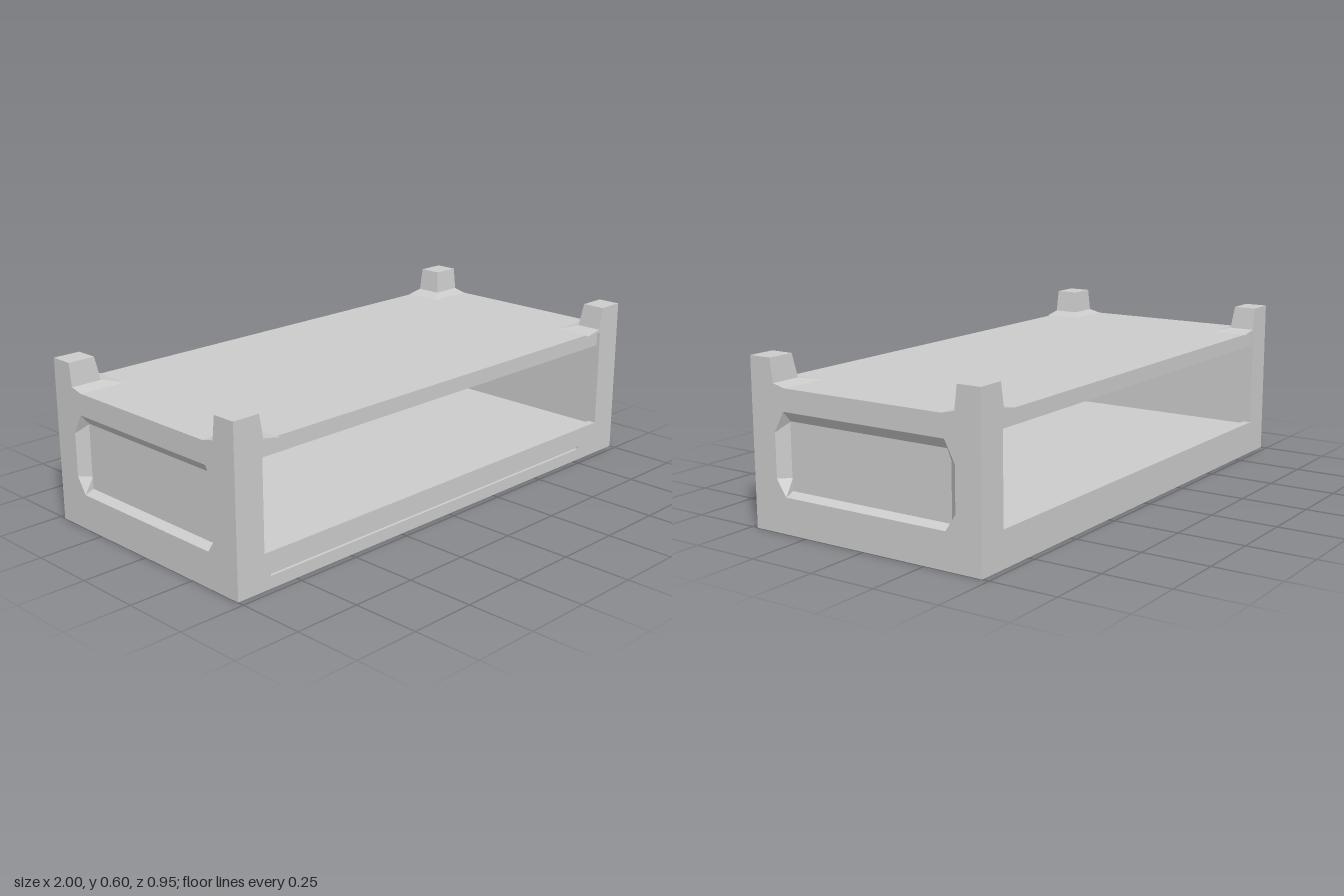
import * as THREE from 'three';

const material = new THREE.MeshStandardMaterial({ color: 0xcccccc, flatShading: true });

function add(parent, name, geometry) {
  const mesh = new THREE.Mesh(geometry, material);
  mesh.name = name;
  parent.add(mesh);
  return mesh;
}

// Box given by its extents on each axis
function slab(x0, x1, y0, y1, z0, z1) {
  return new THREE.BoxGeometry(x1 - x0, y1 - y0, z1 - z0)
    .translate((x0 + x1) / 2, (y0 + y1) / 2, (z0 + z1) / 2);
}

// Corner block whose two inner faces lean; low and high are the inner [x, z]
function cornerBlock(sx, sz, y0, y1, low, high) {
  const geometry = new THREE.BoxGeometry(1, 1, 1);
  const p = geometry.attributes.position;
  for (let i = 0; i < p.count; i++) {
    const top = p.getY(i) > 0;
    const inner = top ? high : low;
    const x = p.getX(i) * sx > 0 ? 1 : inner[0];
    const z = p.getZ(i) * sz > 0 ? 0.475 : inner[1];
    p.setXYZ(i, sx * x, top ? y1 : y0, sz * z);
  }
  geometry.computeVertexNormals();
  return geometry;
}

function polygon(points, Type = THREE.Shape) {
  return new Type(points.map(([x, y]) => new THREE.Vector2(x, y)));
}

const rect = (x0, x1, y0, y1) => [[x0, y0], [x1, y0], [x1, y1], [x0, y1]];

// Outer skin of an end wall, with an eight-sided recess whose sides slope inwards
function recessedSkin(sx) {
  const shape = polygon(rect(-0.475, 0.475, 0, 0.505));
  shape.holes.push(polygon([
    [-0.335, 0.13], [-0.375, 0.19], [-0.375, 0.35], [-0.335, 0.425],
    [0.335, 0.425], [0.375, 0.35], [0.375, 0.19], [0.335, 0.13],
  ], THREE.Path));
  const geometry = new THREE.ExtrudeGeometry(shape, { depth: 0.035, bevelEnabled: false });
  const p = geometry.attributes.position;
  for (let i = 0; i < p.count; i++) {
    if (p.getZ(i) < 0.01 && Math.abs(p.getX(i)) < 0.4) {
      p.setX(i, THREE.MathUtils.clamp(p.getX(i), -0.335, 0.335));
      p.setY(i, THREE.MathUtils.clamp(p.getY(i), 0.145, 0.385));
    }
  }
  geometry.computeVertexNormals();
  return geometry.rotateY(sx * Math.PI / 2).translate(sx * 0.965, 0, 0);
}

export function createModel() {
  const model = new THREE.Group();
  model.name = 'lowShelf';

  // Base with raised lips along its long edges
  const base = new THREE.Group();
  base.name = 'base';
  model.add(base);
  add(base, 'floor', slab(-0.89, 0.89, 0, 0.122, -0.46, 0.45));
  add(base, 'frontLip', slab(-0.89, 0.89, 0, 0.13, 0.445, 0.464));
  add(base, 'backLip', slab(-0.89, 0.89, 0, 0.13, -0.475, -0.445));

  // Front board with a long narrow groove
  const board = polygon(rect(-0.89, 0.89, 0, 0.13));
  board.holes.push(polygon(rect(-0.86, 0.78, 0.045, 0.058), THREE.Path));
  add(base, 'frontBoard', new THREE.ExtrudeGeometry(board, { depth: 0.012, bevelEnabled: false })
    .translate(0, 0, 0.463));

  // Top shelf
  add(model, 'topShelf', slab(-0.89, 0.89, 0.45, 0.505, -0.47, 0.462));

  // End walls and corner posts
  for (const sx of [1, -1]) {
    const wall = new THREE.Group();
    wall.name = sx > 0 ? 'leftWall' : 'rightWall';
    model.add(wall);
    add(wall, 'recessedSkin', recessedSkin(sx));
    const a = sx * 0.886, b = sx * 0.966;
    add(wall, 'innerPanel', slab(Math.min(a, b), Math.max(a, b), 0, 0.505, -0.475, 0.475));

    for (const sz of [1, -1]) {
      const post = new THREE.Group();
      post.name = (sz > 0 ? 'front' : 'back') + (sx > 0 ? 'Left' : 'Right') + 'Post';
      model.add(post);
      add(post, 'postTop', cornerBlock(sx, sz, 0.504, 0.602, [0.878, 0.374], [0.895, 0.386]));
      add(post, 'postFoot', cornerBlock(sx, sz, 0.504, 0.517, [0.81, 0.32], [0.878, 0.376]));
    }
  }
  return model;
}
